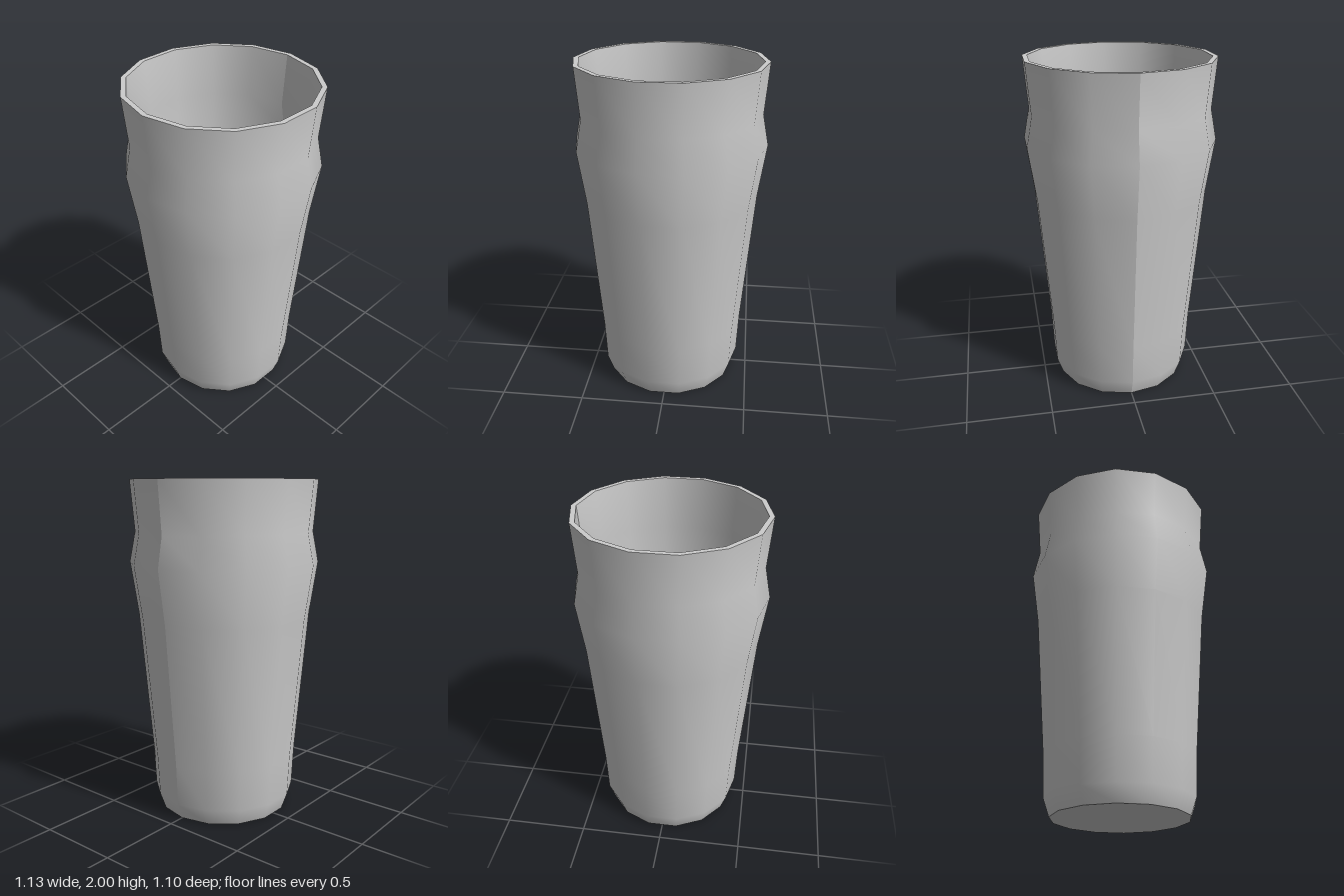
import * as THREE from 'three';

const SIDES = 14;

export function createModel() {
  const group = new THREE.Group();
  group.name = 'pintGlass';
  const glass = new THREE.MeshStandardMaterial({ color: 0xcccccc });
  glass.name = 'pale grey glass';

  const add = (name, geometry) => {
    const mesh = new THREE.Mesh(geometry, glass);
    mesh.name = name;
    group.add(mesh);
    return mesh;
  };

  // Turned surface with a corner on the +x axis; the seam there stays unsmoothed
  const turned = (name, profile) => {
    const points = profile.map(([r, y]) => new THREE.Vector2(r, y));
    const geometry = new THREE.LatheGeometry(points, SIDES, Math.PI / 2);
    geometry.computeVertexNormals();
    return add(name, geometry);
  };

  // Flat disc facing up, or down when flipped
  const disc = (name, radius, y, down) => {
    const geometry = new THREE.CircleGeometry(radius, SIDES);
    geometry.rotateX(down ? Math.PI / 2 : -Math.PI / 2);
    add(name, geometry).position.y = y;
  };

  // Outside: chamfered foot, tapered body, bulge below the lip
  turned('outerWall', [
    [0.40, 0], [0.435, 0.1], [0.447, 0.35], [0.518, 1.2],
    [0.565, 1.52], [0.53, 1.7], [0.555, 2],
  ]);

  // Flat lip
  turned('rim', [[0.555, 2], [0.525, 2]]);

  // Inside, following the outer wall from the lip down to the floor
  turned('innerWall', [
    [0.525, 2], [0.50, 1.7], [0.533, 1.52], [0.488, 1.2],
    [0.417, 0.35], [0.402, 0.13], [0.347, 0.06],
  ]);

  disc('innerFloor', 0.347, 0.06, false);
  disc('base', 0.40, 0, true);

  return group;
}
